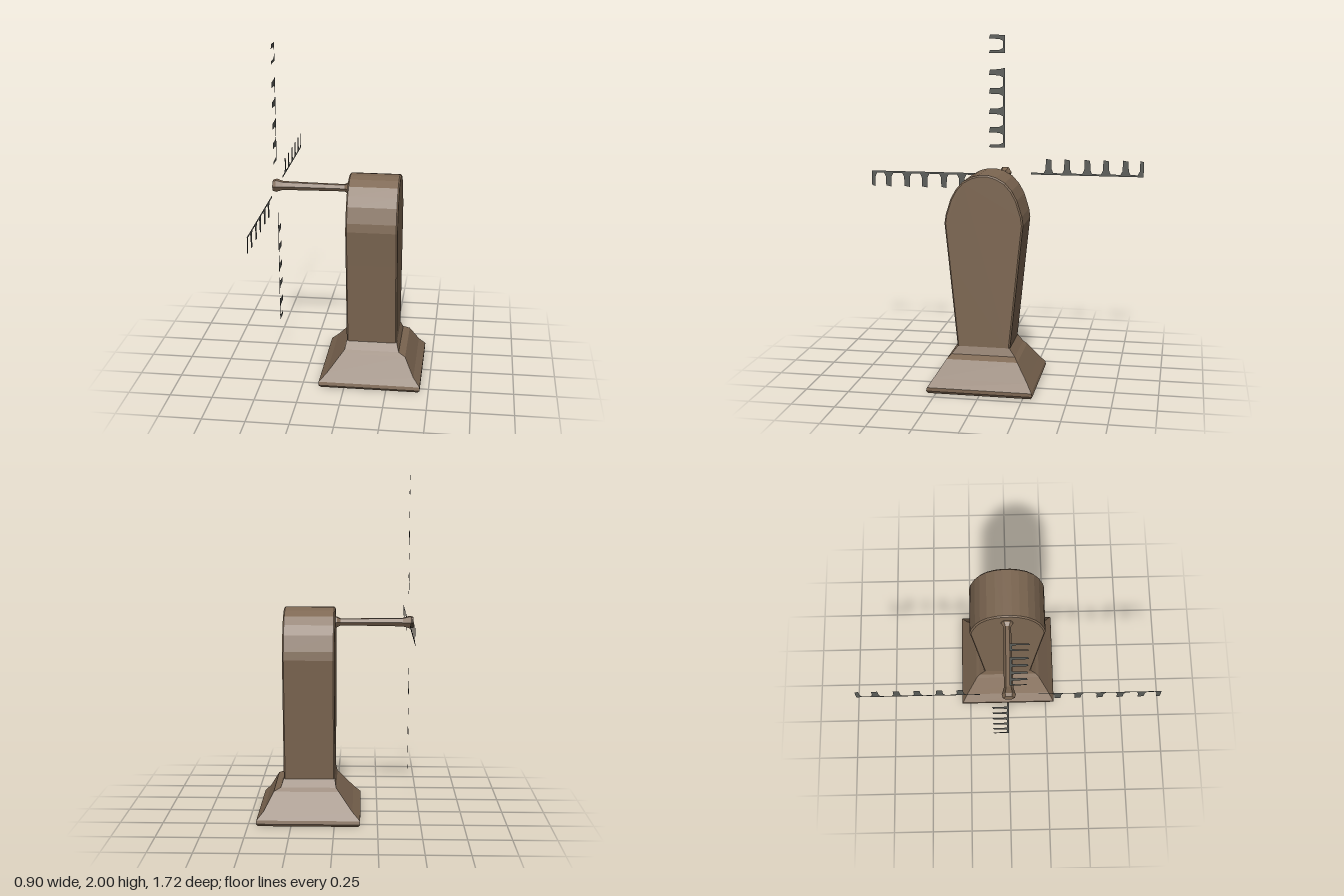
import * as THREE from 'three';

const wood = new THREE.MeshStandardMaterial({ color: 0x7d6752, flatShading: true });
const sailMat = new THREE.MeshStandardMaterial({ color: 0x5a5c58, side: THREE.DoubleSide });

function add(parent, name, geometry, material) {
  const mesh = new THREE.Mesh(geometry, material);
  mesh.name = name;
  parent.add(mesh);
  return mesh;
}

// Square flared foot: a box whose rows follow [y, left x, right x, half depth]
function baseGeometry() {
  const rows = [
    [0, -0.14, 0.44, 0.295], [0.015, -0.15, 0.45, 0.305], [0.035, -0.15, 0.45, 0.3],
    [0.08, -0.105, 0.41, 0.27], [0.18, -0.025, 0.355, 0.205],
    [0.2, -0.008, 0.315, 0.185], [0.245, 0, 0.3, 0.15],
  ];
  const n = rows.length - 1;
  const geo = new THREE.BoxGeometry(1, 1, 1, 1, n, 1);
  const p = geo.attributes.position;
  for (let i = 0; i < p.count; i++) {
    const [y, left, right, depth] = rows[Math.round((p.getY(i) + 0.5) * n)];
    p.setXYZ(i, p.getX(i) < 0 ? left : right, y, Math.sign(p.getZ(i)) * depth);
  }
  geo.computeVertexNormals();
  return geo;
}

// Tower: widening profile with a rounded head, extruded along x
function towerGeometry() {
  const half = [
    [0.15, 0.22], [0.178, 0.5], [0.203, 0.75], [0.225, 0.96], [0.218, 1.01], [0.19, 1.1],
    [0.16, 1.155], [0.12, 1.2], [0.07, 1.228], [0.025, 1.24],
  ];
  const outline = [...half, ...half.map(([z, y]) => [-z, y]).reverse()];
  const shape = new THREE.Shape(outline.map(([z, y]) => new THREE.Vector2(z, y)));
  const b = 0.008;
  const geo = new THREE.ExtrudeGeometry(shape, {
    depth: 0.3 - 2 * b, bevelThickness: b, bevelSize: b, bevelOffset: -b, bevelSegments: 1,
  });
  return geo.translate(0, 0, b).rotateY(Math.PI / 2);
}

// Axle: six-sided rod with a collar at the wall and a flared hub
function axleGeometry() {
  const profile = [
    [0, -0.02], [0.036, -0.02], [0.034, 0.01], [0.022, 0.03], [0.024, 0.2], [0.027, 0.395],
    [0.035, 0.42], [0.04, 0.435], [0.034, 0.455], [0, 0.455],
  ];
  const points = profile.map(([r, d]) => new THREE.Vector2(r, d));
  return new THREE.LatheGeometry(points, 6).rotateZ(Math.PI / 2);
}

// Thin strip from radius a to b with tapered slats on one edge
function combGeometry(a, b, slats) {
  const spine = 0.012, points = [[a, 0], [a, spine]];
  for (const r of slats) {
    const side = [[-0.03, spine], [-0.019, 0.035], [-0.017, 0.1], [0.017, 0.094], [0.019, 0.035], [0.03, spine]];
    for (const [d, w] of side) points.push([Math.min(Math.max(r + d, a), b), w]);
  }
  points.push([b, spine], [b, 0]);
  // drop repeated corners where a slat meets the end of the strip
  const clean = points.filter(([x, y], i) => i === 0 || x !== points[i - 1][0] || y !== points[i - 1][1]);
  const shape = new THREE.Shape(clean.map(([x, y]) => new THREE.Vector2(x, y)));
  return new THREE.ShapeGeometry(shape).rotateZ(Math.PI / 2).rotateY(Math.PI / 2);
}

export function createModel() {
  const model = new THREE.Group();
  model.name = 'windmill';

  add(model, 'base', baseGeometry(), wood);
  add(model, 'tower', towerGeometry(), wood);
  add(model, 'axle', axleGeometry(), wood).position.set(0, 1.153, -0.003);

  // Four sails, a quarter turn apart; the upper one has a gap in its spine
  const sails = new THREE.Group();
  sails.name = 'sails';
  sails.position.set(-0.43, 1.145, 0);
  const inner = [0.275, 0.39, 0.515, 0.63];
  for (let k = 0; k < 4; k++) {
    const sail = new THREE.Group();
    sail.name = 'sail';
    sail.rotation.x = k * Math.PI / 2;
    if (k === 0) {
      add(sail, 'sailInner', combGeometry(0.165, 0.655, [0.165, ...inner]), sailMat);
      add(sail, 'sailTip', combGeometry(0.748, 0.858, [0.748, 0.852]), sailMat);
    } else {
      add(sail, 'sailComb', combGeometry(0.165, 0.86, [...inner, 0.75, 0.855]), sailMat);
    }
    sails.add(sail);
  }
  model.add(sails);
  return model;
}
